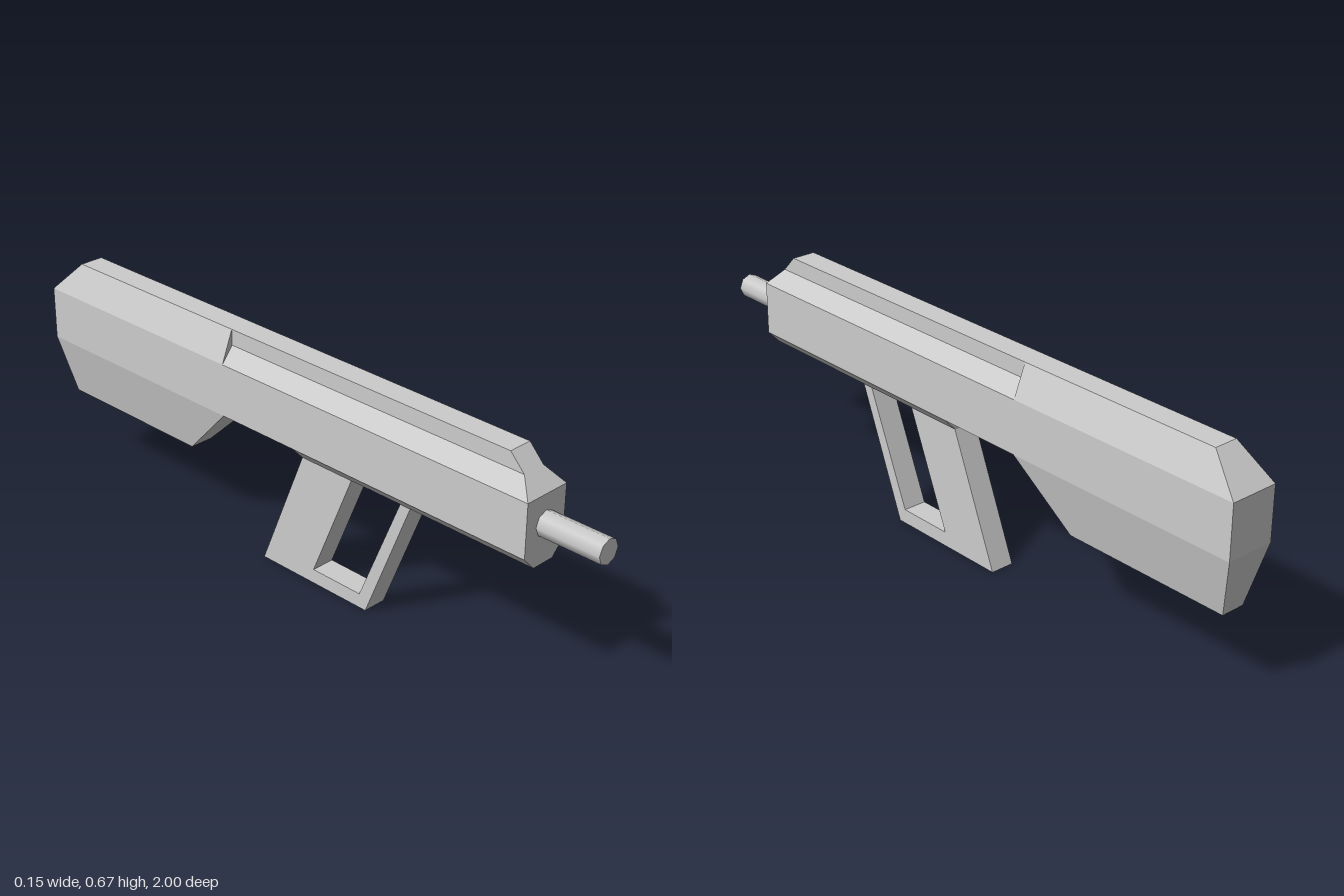
import * as THREE from 'three';

const material = new THREE.MeshStandardMaterial({ color: 0xcccccc, flatShading: true });
const smoothMaterial = new THREE.MeshStandardMaterial({ color: 0xcccccc });
const W = 0.073; // half width of the body
const N = 0.036; // half width of the narrow ridges, grip and barrel

// Mirrored solid from rows [halfWidth, y, zFront, zBack], listed bottom to top.
function mirroredSolid(name, rows) {
  const positions = [];
  const quad = (a, b, c, d) => positions.push(...a, ...b, ...c, ...a, ...c, ...d);
  const point = ([x, y, zFront, zBack], side, front) => [x * side, y, front ? zFront : zBack];
  for (let i = 0; i < rows.length - 1; i++) {
    const [lo, hi] = [rows[i], rows[i + 1]];
    const p = (row, side, front) => point(row, side, front);
    quad(p(lo, 1, true), p(lo, 1, false), p(hi, 1, false), p(hi, 1, true)); // left side
    quad(p(lo, -1, false), p(lo, -1, true), p(hi, -1, true), p(hi, -1, false)); // right side
    quad(p(lo, 1, true), p(hi, 1, true), p(hi, -1, true), p(lo, -1, true)); // front
    quad(p(lo, -1, false), p(hi, -1, false), p(hi, 1, false), p(lo, 1, false)); // back
  }
  const bottom = rows[0], top = rows[rows.length - 1];
  quad(point(bottom, 1, true), point(bottom, -1, true), point(bottom, -1, false), point(bottom, 1, false));
  quad(point(top, 1, true), point(top, 1, false), point(top, -1, false), point(top, -1, true));

  const geometry = new THREE.BufferGeometry();
  geometry.setAttribute('position', new THREE.Float32BufferAttribute(positions, 3));
  geometry.computeVertexNormals();
  const mesh = new THREE.Mesh(geometry, material);
  mesh.name = name;
  return mesh;
}

export function createModel() {
  const group = new THREE.Group();
  group.name = 'blaster';

  // Long receiver with a raised top ridge and sloped nose
  group.add(mirroredSolid('receiver', [
    [W, 0.417, 0.81, -0.26],
    [W, 0.573, 0.81, -0.26],
    [N, 0.62, 0.765, -0.26],
    [N, 0.667, 0.72, -0.26],
  ]));

  // Bevelled underside in front of the grip
  group.add(mirroredSolid('lowerRail', [
    [N, 0.378, 0.81, 0.01],
    [W, 0.417, 0.81, 0.01],
  ]));

  // Deep faceted shoulder stock
  group.add(mirroredSolid('stock', [
    [N, 0.24, -0.44, -0.96],
    [W, 0.417, -0.26, -1],
    [W, 0.573, -0.26, -1],
    [N, 0.667, -0.26, -0.905],
  ]));

  // Slanted grip and hand guard as one U-shaped frame, drawn in (z, y)
  const profile = new THREE.Shape([
    [0.405, 0.378], [0.37, 0.378], [0.23, 0.043], [0.055, 0.043],
    [0.195, 0.378], [0.012, 0.378], [-0.143, 0], [0.253, 0],
  ].map(([z, y]) => new THREE.Vector2(z, y)));
  const gripGeometry = new THREE.ExtrudeGeometry(profile, { depth: 2 * N, bevelEnabled: false });
  gripGeometry.translate(0, 0, -N).rotateY(-Math.PI / 2);
  const grip = new THREE.Mesh(gripGeometry, material);
  grip.name = 'gripAndGuard';
  group.add(grip);

  // Eight-sided barrel
  const barrel = new THREE.Mesh(new THREE.CylinderGeometry(N, N, 0.2, 8), smoothMaterial);
  barrel.name = 'barrel';
  barrel.rotation.x = Math.PI / 2;
  barrel.position.set(0, 0.491, 0.9);
  group.add(barrel);

  return group;
}
